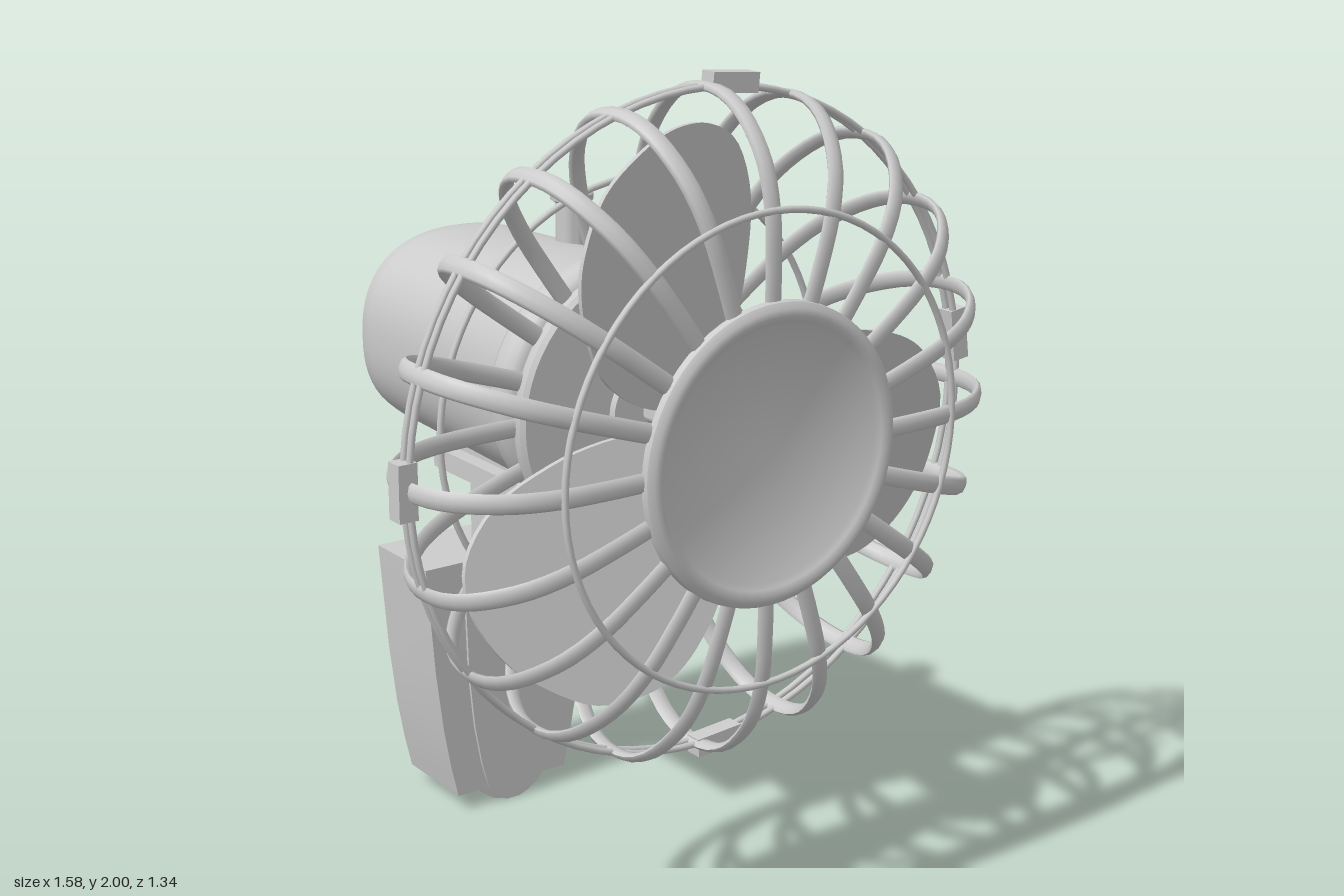
import * as THREE from 'three';
import { toCreasedNormals } from 'three/addons/utils/BufferGeometryUtils.js';

const AXIS_Y = 1.21;   // height of the fan axis
const MOTOR_Y = 1.247; // height of the motor axis
const mat = new THREE.MeshStandardMaterial({ color: 0xcccccc });
const thinMat = new THREE.MeshStandardMaterial({ color: 0xcccccc, side: THREE.DoubleSide });

function add(parent, name, geometry, x = 0, y = 0, z = 0, material = mat) {
  const mesh = new THREE.Mesh(geometry, material);
  mesh.name = name;
  mesh.position.set(x, y, z);
  parent.add(mesh);
  return mesh;
}

// Turned part; points are [radius, height], listed from low to high
function turned(points, segments = 40) {
  const g = new THREE.LatheGeometry(points.map(p => new THREE.Vector2(...p)), segments);
  return toCreasedNormals(g, 0.7);
}
// The same with its axis along z
const turnedZ = (points, segments) => turned(points, segments).rotateX(Math.PI / 2);

// Round section pushed slightly towards a rounded square, and flattened in height
function squarish(geometry, flatten) {
  const p = geometry.attributes.position, n = 2.4;
  for (let i = 0; i < p.count; i++) {
    const x = p.getX(i), y = p.getY(i), r = Math.hypot(x, y);
    if (r < 1e-6) continue;
    const k = Math.pow(Math.pow(Math.abs(x / r), n) + Math.pow(Math.abs(y / r), n), -1 / n);
    p.setXY(i, x * k, y * k * flatten);
  }
  return toCreasedNormals(geometry, 0.7);
}

function makeCage() {
  const cage = new THREE.Group();
  cage.name = 'cage';

  // Flattened wires, each a C from the front badge round to the back plate
  const half = [[0.3, 0.24], [0.42, 0.24], [0.53, 0.232], [0.63, 0.2], [0.715, 0.13], [0.75, 0.065]];
  const path = [
    ...half.map(([r, z]) => new THREE.Vector3(0, r, z)),
    new THREE.Vector3(0, 0.758, 0),
    ...half.slice().reverse().map(([r, z]) => new THREE.Vector3(0, r, -z)),
  ];
  const wire = new THREE.TubeGeometry(new THREE.CatmullRomCurve3(path), 36, 0.0105, 8);
  wire.scale(2.1, 1, 1);
  wire.computeVertexNormals();
  for (let i = 0; i < 20; i++) {
    add(cage, 'cageWire', wire, 0, 0, 0, thinMat).rotation.z = i * Math.PI / 10;
  }

  // Hoops: one front, one back, two at the rim
  for (const [r, z] of [[0.53, 0.24], [0.53, -0.24], [0.758, 0.012], [0.758, -0.012]]) {
    add(cage, 'cageHoop', new THREE.TorusGeometry(r, 0.008, 8, 80), 0, 0, z);
  }

  // Clips holding both halves of the cage together
  for (const deg of [85, 8, 274, 180]) {
    const a = deg * Math.PI / 180;
    const clip = add(cage, 'cageClip', new THREE.BoxGeometry(0.045, 0.125, 0.042),
      0.765 * Math.cos(a), 0.765 * Math.sin(a), 0);
    clip.rotation.z = a;
  }

  // Front badge with a raised rim, and back plate
  add(cage, 'frontBadge', turnedZ([[0, 0.232], [0.325, 0.232], [0.34, 0.242], [0.338, 0.258],
    [0.325, 0.268], [0.31, 0.27], [0.298, 0.264], [0.285, 0.255], [0, 0.255]], 60));
  add(cage, 'backPlate', turnedZ([[0, -0.245], [0.335, -0.245], [0.34, -0.235], [0.34, -0.215],
    [0.33, -0.205], [0, -0.205]], 60));
  cage.position.set(0, AXIS_Y, 0.4);
  return cage;
}

function makePropeller() {
  const propeller = new THREE.Group();
  propeller.name = 'propeller';

  // Blade outline in polar form: [degrees, radius]
  const outline = [[50, 0.08], [60, 0.24], [65, 0.37], [71, 0.52], [79, 0.63], [88, 0.675], [98, 0.685],
    [108, 0.672], [119, 0.65], [129, 0.595], [136, 0.54], [143, 0.46], [151, 0.36], [155, 0.22], [140, 0.08]];
  const shape = new THREE.Shape(new THREE.SplineCurve(outline.map(([d, r]) => {
    const a = d * Math.PI / 180;
    return new THREE.Vector2(r * Math.cos(a), r * Math.sin(a));
  })).getPoints(56));
  const blade = new THREE.ExtrudeGeometry(shape, { depth: 0.012, bevelEnabled: false });
  // Pitch the blade: one edge goes forward
  const p = blade.attributes.position;
  for (let i = 0; i < p.count; i++) p.setZ(i, p.getZ(i) - 0.017 - 0.26 * p.getX(i));
  const bladeGeometry = toCreasedNormals(blade, 0.6);
  for (let i = 0; i < 3; i++) {
    add(propeller, 'blade', bladeGeometry, 0, 0, 0, thinMat).rotation.z = i * Math.PI * 2 / 3;
  }

  add(propeller, 'hub', turnedZ([[0, -0.03], [0.06, -0.03], [0.135, 0.04], [0.14, 0.085], [0.125, 0.1],
    [0.105, 0.105], [0.09, 0.135], [0, 0.135]]));
  add(propeller, 'shaft', turnedZ([[0, -0.22], [0.03, -0.22], [0.03, 0], [0, 0]], 20));
  add(propeller, 'shaftCollar', turnedZ([[0, -0.195], [0.11, -0.195], [0.11, -0.175], [0, -0.175]]));
  propeller.position.set(0, AXIS_Y, 0.4);
  return propeller;
}

function makeMotor() {
  const motor = new THREE.Group();
  motor.name = 'motor';
  const housing = turnedZ([[0, -0.672], [0.18, -0.672], [0.225, -0.665], [0.26, -0.645], [0.28, -0.615],
    [0.286, -0.57], [0.308, 0.07], [0, 0.07]], 64);
  add(motor, 'motorHousing', squarish(housing, 0.885), 0, MOTOR_Y);
  const collar = turnedZ([[0, 0.055], [0.32, 0.055], [0.34, 0.063], [0.352, 0.085], [0.352, 0.12],
    [0.343, 0.14], [0.325, 0.152], [0, 0.152]], 64);
  collar.scale(1, 0.895, 1);
  add(motor, 'motorCollar', collar, 0, MOTOR_Y);

  // Pull knob with a small recess in its cap
  add(motor, 'knob', turned([[0, 1.44], [0.04, 1.44], [0.04, 1.6], [0.052, 1.607], [0.053, 1.622],
    [0.043, 1.632], [0.025, 1.632], [0.022, 1.62], [0, 1.62]], 24), 0.105, 0, -0.255);
  return motor;
}

function makeMount() {
  const mount = new THREE.Group();
  mount.name = 'mount';
  add(mount, 'motorPlate', new THREE.BoxGeometry(0.3, 0.05, 0.56), 0, 0.94, -0.22);
  add(mount, 'motorSaddle', new THREE.BoxGeometry(0.22, 0.06, 0.5), 0, 0.985, -0.22);
  add(mount, 'neck', new THREE.BoxGeometry(0.18, 0.24, 0.415), 0, 0.805, -0.2175);

  // Mirrors a half outline of [x, y] points into a closed shape
  const mirrored = half => new THREE.Shape(
    [...half, ...half.slice().reverse().map(([x, y]) => [-x, y])].map(q => new THREE.Vector2(...q)));
  const slab = (half, depth) => toCreasedNormals(
    new THREE.ExtrudeGeometry(mirrored(half), { depth, bevelEnabled: false }), 0.5);

  // Tapered wall bracket with a rounded tongue on its front
  add(mount, 'wallBracket', slab([[0.02, 0], [0.055, 0.008], [0.08, 0.025], [0.1, 0.045], [0.165, 0.045],
    [0.185, 0.13], [0.205, 0.24], [0.225, 0.4], [0.248, 0.685]], 0.235), 0, 0, -0.625);
  add(mount, 'bracketTongue', slab([[0.02, 0], [0.05, 0.012], [0.075, 0.05], [0.095, 0.12], [0.115, 0.23],
    [0.13, 0.38], [0.14, 0.685]], 0.02), 0, 0, -0.402);
  return mount;
}

export function createModel() {
  const fan = new THREE.Group();
  fan.name = 'wallFan';
  fan.add(makeCage(), makePropeller(), makeMotor(), makeMount());
  return fan;
}
